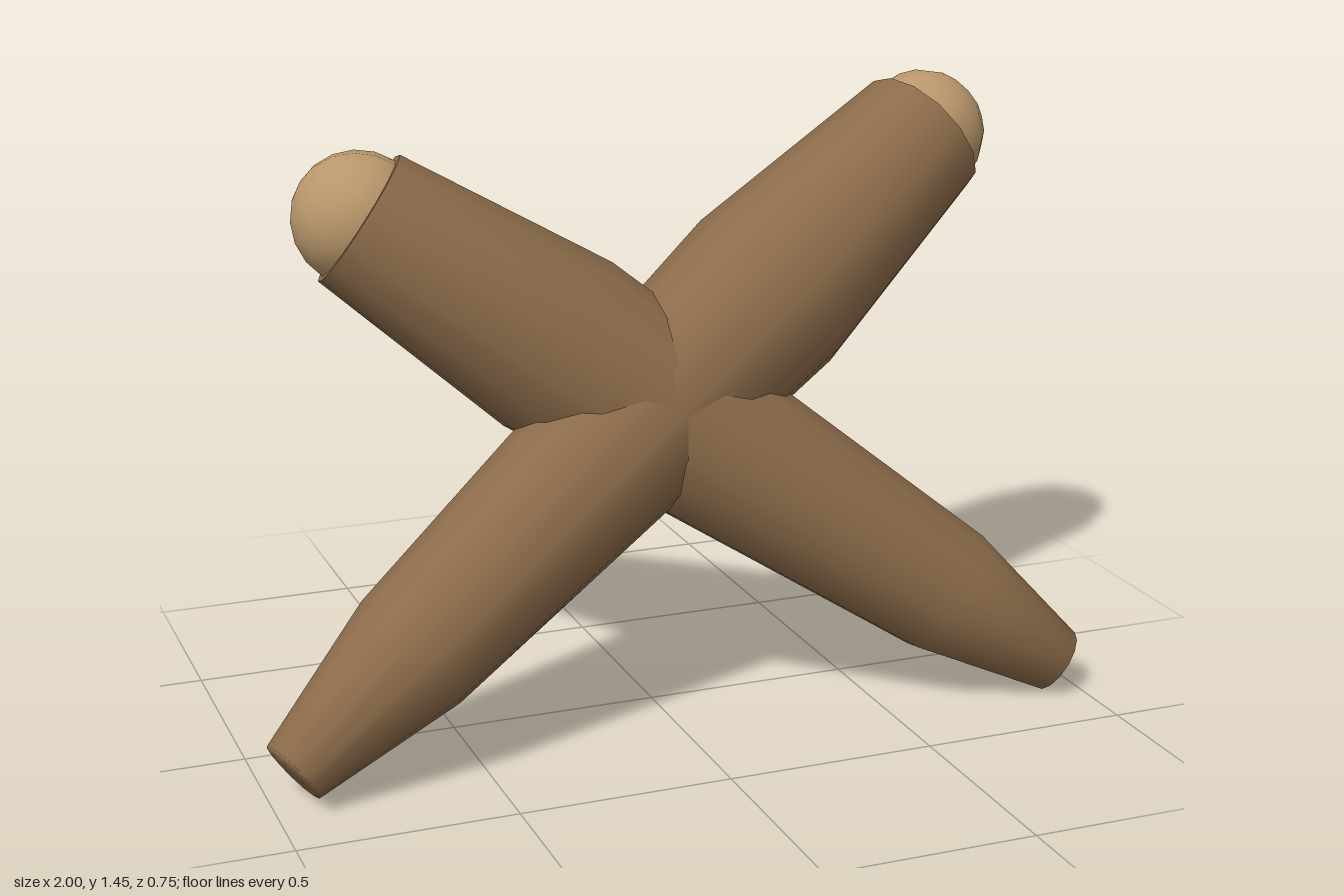
import * as THREE from 'three';

export function createModel() {
  const bark = new THREE.MeshStandardMaterial({ color: 0x8b6b4a });
  bark.name = 'brown bark';
  const cutWood = new THREE.MeshStandardMaterial({ color: 0xb9976c });
  cutWood.name = 'light wood';

  const model = new THREE.Group();
  model.name = 'crossedLogs';

  // A swelling log from a narrow foot to a head capped with a ball
  function addLog(name, foot, head) {
    const axis = head.clone().sub(foot);
    const length = axis.length();
    // [radius, fraction of length]; the doubled point keeps the head rim sharp
    const profile = [[0, 0], [0.082, 0], [0.16, 0.17], [0.23, 0.73], [0.173, 1], [0.173, 1], [0, 1]]
      .map(([r, t]) => new THREE.Vector2(r, t * length));

    const log = new THREE.Group();
    log.name = name;
    log.position.copy(foot);
    log.quaternion.setFromUnitVectors(new THREE.Vector3(0, 1, 0), axis.normalize());

    const trunk = new THREE.Mesh(new THREE.LatheGeometry(profile, 14), bark);
    trunk.name = 'trunk';
    const knob = new THREE.Mesh(new THREE.SphereGeometry(0.156, 14, 10), cutWood);
    knob.name = 'roundedEnd';
    knob.position.y = length;

    log.add(trunk, knob);
    model.add(log);
  }

  addLog('leftLeaningLog', new THREE.Vector3(-0.952, 0.085, 0.29), new THREE.Vector3(0.795, 1.3, -0.215));
  addLog('rightLeaningLog', new THREE.Vector3(0.952, 0.069, 0.285), new THREE.Vector3(-0.643, 1.203, -0.182));

  return model;
}
